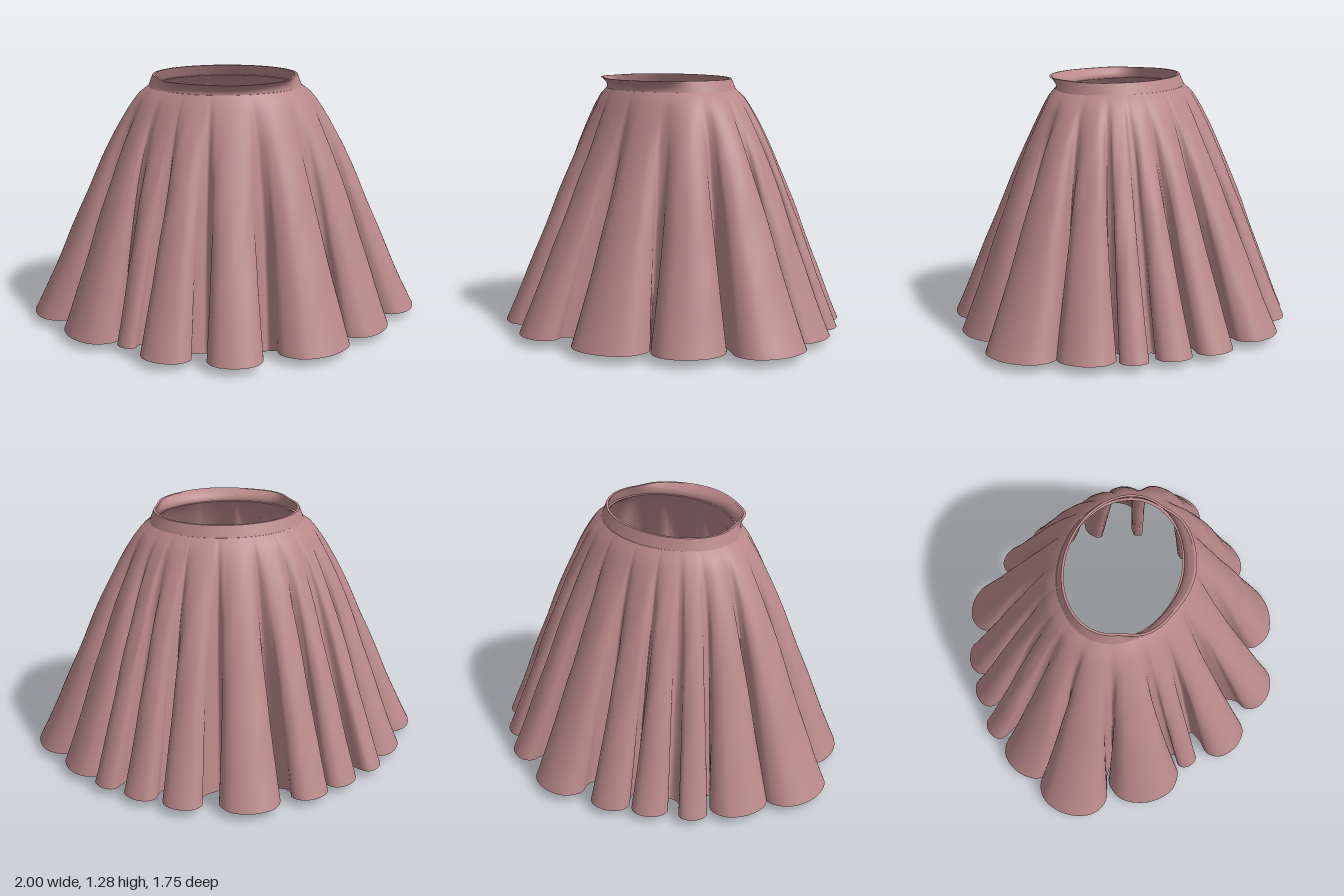
import * as THREE from 'three';
import { mergeGeometries } from 'three/addons/utils/BufferGeometryUtils.js';

// Folds round the hem: [angle from the front in degrees, tip radius, half width, radius of the valley after it]
const FOLDS = [
  [0, 0.875, 0.135, 0.6], [32.5, 0.875, 0.2, 0.65], [62, 0.89, 0.18, 0.67], [88.5, 1.0, 0.19, 0.7],
  [110, 0.915, 0.145, 0.7], [126, 0.88, 0.07, 0.72], [140, 0.865, 0.09, 0.66], [156, 0.865, 0.1, 0.59],
  [180, 0.88, 0.15, 0.59], [203, 0.85, 0.1, 0.66], [218, 0.85, 0.09, 0.7], [233, 0.88, 0.07, 0.7],
  [250, 0.915, 0.15, 0.7], [271, 1.0, 0.185, 0.68], [297.5, 0.905, 0.19, 0.68], [317, 0.79, 0.055, 0.63],
  [335, 0.865, 0.13, 0.6],
];
const RAD = Math.PI / 180;
const WAIST_Y = 1.225;
const { lerp, smoothstep } = THREE.MathUtils;

// Grid of points, closed round u, running from top to bottom
function sheet(point, nu, nv, flip) {
  const pos = [], index = [];
  for (let j = 0; j <= nv; j++) {
    for (let i = 0; i < nu; i++) pos.push(...point(i, j).toArray());
  }
  for (let j = 0; j < nv; j++) {
    for (let i = 0; i < nu; i++) {
      const k = (i + 1) % nu;
      const a = j * nu + i, b = a + nu, c = (j + 1) * nu + k, d = j * nu + k;
      if (flip) index.push(a, c, b, a, d, c);
      else index.push(a, b, c, a, c, d);
    }
  }
  const g = new THREE.BufferGeometry();
  g.setAttribute('position', new THREE.Float32BufferAttribute(pos, 3));
  g.setIndex(index);
  g.computeVertexNormals();
  return g;
}

// Cloth with thickness: outer face, inner face and the two edges
function cloth(point, nu, nv, thickness) {
  const outer = sheet((i, j) => point(i / nu, j / nv), nu, nv, false);
  const p = outer.attributes.position, n = outer.attributes.normal;
  const out = (i, j) => new THREE.Vector3().fromBufferAttribute(p, j * nu + i);
  const inn = (i, j) => {
    const q = new THREE.Vector3().fromBufferAttribute(n, j * nu + i);
    q.y = 0;
    return out(i, j).addScaledVector(q.normalize(), -thickness);
  };
  return mergeGeometries([
    outer,
    sheet(inn, nu, nv, true),
    sheet((i, j) => (j ? inn(i, nv) : out(i, nv)), nu, 1, false),
    sheet((i, j) => (j ? out(i, 0) : inn(i, 0)), nu, 1, false),
  ]);
}

// Hem line with rounded folds and narrower necks, plus the matching directions round the waist
function foldCurves() {
  const hem = [], direction = [];
  const count = FOLDS.length;
  const add = (x, z, a) => {
    hem.push(new THREE.Vector3(x, 0, z));
    direction.push(new THREE.Vector3(Math.sin(a), 0, Math.cos(a)));
  };
  FOLDS.forEach(([deg, r, w, valley], i) => {
    const a = deg * RAD;
    const next = (FOLDS[(i + 1) % count][0] + (i === count - 1 ? 360 : 0)) * RAD;
    const prev = (FOLDS[(i + count - 1) % count][0] - (i === 0 ? 360 : 0)) * RAD;
    const s = Math.sin(a), c = Math.cos(a);
    const neck = Math.min(r - 0.95 * w - 0.04, 0.74);
    // [distance out, sideways offset, share of the gap to the neighbouring fold]
    const half = [[r - 0.2 * w, 0.7 * w, 0.15], [r - 0.72 * w, w, 0.28], [neck, 0.82 * w, 0.4]];
    const at = (out, side, angle) => add(s * out + c * side, c * out - s * side, angle);
    [...half].reverse().forEach(([o, d, k]) => at(o, -d, a - (a - prev) * k));
    at(r, 0, a);
    half.forEach(([o, d, k]) => at(o, d, a + (next - a) * k));
    const m = (a + next) / 2;
    at(valley * Math.cos(m - a), valley * Math.sin(m - a), m);
  });
  return [hem, direction].map((pts) => new THREE.CatmullRomCurve3(pts, true, 'catmullrom', 0.5));
}

export function createModel() {
  const group = new THREE.Group();
  const fabric = new THREE.MeshStandardMaterial({ color: 0xb98889, side: THREE.DoubleSide });
  fabric.name = 'dusty rose fabric';

  // Gathered skirt: full over the hips and back, straighter in front, folds deepening to the hem
  const [hem, direction] = foldCurves();
  const skirtPoint = (u, v) => {
    const h = hem.getPoint(u), d = direction.getPoint(u).normalize();
    const fullness = 0.08 + 0.25 * d.x * d.x + (d.z < 0 ? 0.13 * d.z * d.z : 0);
    const f = v + fullness * Math.sqrt(v) * (1 - v) ** 1.6;
    const depth = v ** 0.42;
    const hemY = 0.04 * smoothstep(Math.hypot(h.x, h.z), 0.58, 0.72);
    const ripple = 1 + 0.006 * Math.sin(Math.PI * v) * Math.sin(u * 230 + 7 * v) * Math.sin(11 * v + u * 40);
    return new THREE.Vector3(
      lerp(0.385 * d.x, lerp(0.96 * d.x, h.x, depth), f) * ripple,
      lerp(WAIST_Y, hemY, v),
      lerp(0.01 + 0.305 * d.z, lerp(0.85 * d.z, h.z, depth), f) * ripple,
    );
  };
  const skirt = new THREE.Mesh(cloth(skirtPoint, FOLDS.length * 40, 32, 0.025), fabric);
  skirt.name = 'pleatedSkirt';
  group.add(skirt);

  // Waistband: leans inward at the back and sides, with the front edge turned outward
  const bandPoint = (u, v) => {
    const a = u * Math.PI * 2, t = 1 - v;
    const front = smoothstep(Math.cos(a), 0.3, 0.85);
    const wave = 0.008 * Math.sin(5 * a + 1) * front;
    const flare = -0.07 * t + 0.1 * t * t + wave * t;
    const d = lerp(-0.035 * t, flare, front);
    return new THREE.Vector3((0.395 + d * 0.8) * Math.sin(a), 1.205 + 0.075 * t, 0.01 + (0.312 + d) * Math.cos(a));
  };
  const band = new THREE.Mesh(cloth(bandPoint, 96, 8, 0.012), fabric);
  band.name = 'waistband';
  group.add(band);

  return group;
}
